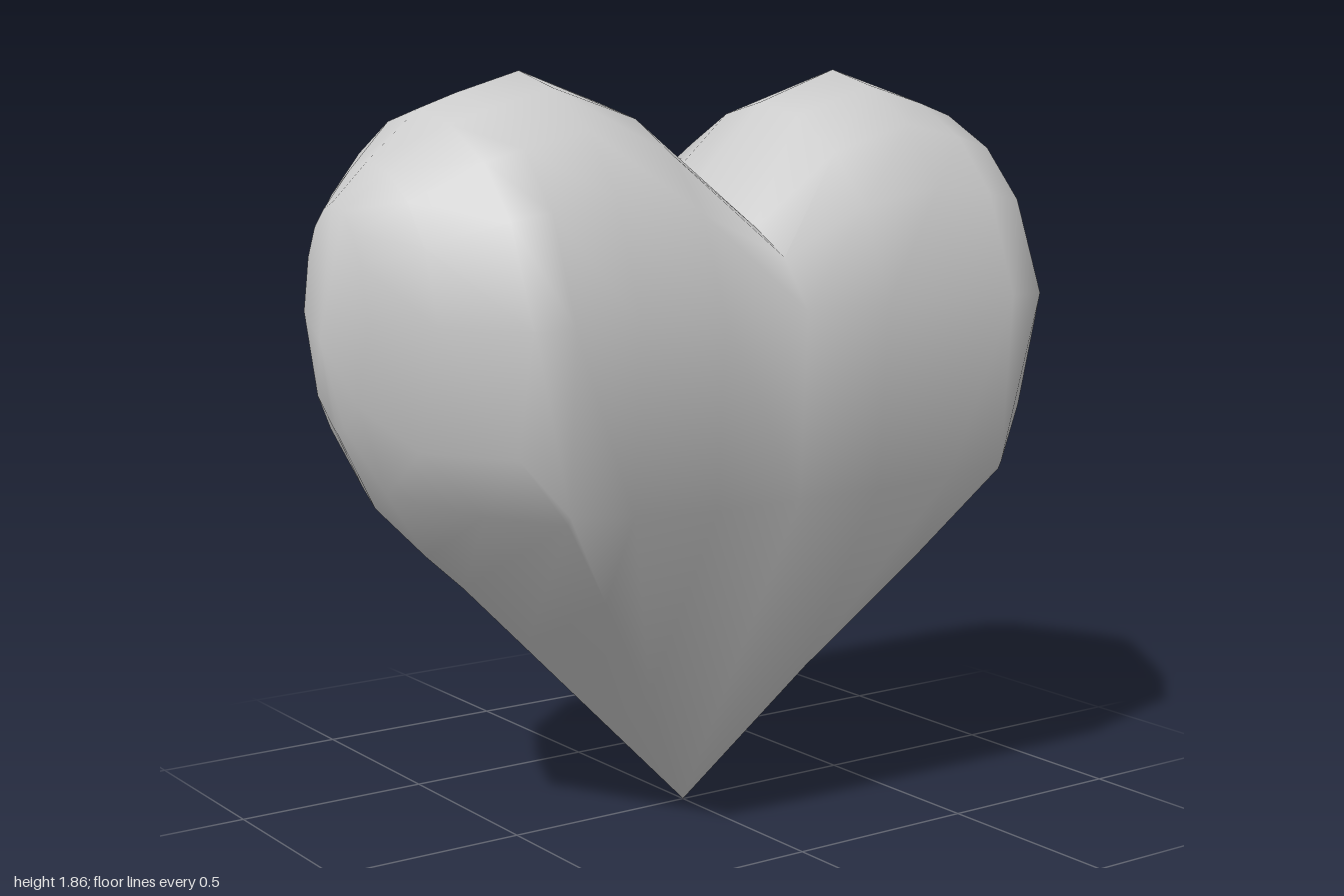
import * as THREE from 'three';
import { toCreasedNormals } from 'three/addons/utils/BufferGeometryUtils.js';

// Cross-sections at constant x, from the notch out to the side of one lobe:
// [x, topY, halfDepth, shoulderY, shoulderZ, keelY, keelZ, bottomY]
const SECTIONS = [
  [0, 1.55, 0.505, 0.86, 0.48, 0, 0, 0],
  [0.24, 1.78, 0.51, 0.86, 0.48, 0.36, 0.2, 0.24],
  [0.47, 1.86, 0.51, 0.87, 0.48, 0.65, 0.36, 0.47],
  [0.64, 1.81, 0.51, 0.89, 0.48, 0.87, 0.47, 0.64],
  [0.74, 1.775, 0.5, 1.02, 0.43, 0.87, 0.28, 0.73],
  [0.87, 1.66, 0.31, 1.02, 0.22, 0.9, 0.06, 0.86],
  [0.96, 1.57, 0.16, 1.12, 0.1, 1.06, 0.03, 1.04],
  [1, 1.26, 0, 1.26, 0, 1.26, 0, 1.26],
];
// Rounded upper arch: [fraction of half depth, fraction of height]
const ARCH = [[0, 1], [0.29, 0.93], [0.59, 0.76], [0.82, 0.49], [1, 0]];

// Closed loop of points: top, down the front, bottom, up the back
function sectionLoop([x, top, depth, shoulderY, shoulderZ, keelY, keelZ, bottom], side) {
  const widestY = Math.min(1.31, top);
  const front = ARCH.map(([w, h]) => [depth * w, widestY + (top - widestY) * h]);
  front.push([shoulderZ, shoulderY], [keelZ, keelY], [0, bottom]);
  const back = front.slice(1, -1).reverse().map(([z, y]) => [-z, y]);
  return [...front, ...back].map(([z, y]) => new THREE.Vector3(x * side, y, z));
}

function heartGeometry() {
  const loops = [
    ...SECTIONS.slice(1).reverse().map((s) => sectionLoop(s, -1)),
    ...SECTIONS.map((s) => sectionLoop(s, 1)),
  ];
  const positions = [];
  // Add a triangle unless it has collapsed at the tip or the sides
  const addTriangle = (...corners) => {
    if (new THREE.Triangle(...corners).getArea() < 1e-7) return;
    corners.forEach((p) => positions.push(p.x, p.y, p.z));
  };
  for (let i = 0; i < loops.length - 1; i++) {
    const count = loops[i].length;
    for (let j = 0; j < count; j++) {
      const k = (j + 1) % count;
      const a = loops[i][j], b = loops[i][k];
      const c = loops[i + 1][j], d = loops[i + 1][k];
      // Choose diagonals that mirror between left and right
      if (i < SECTIONS.length - 1) {
        addTriangle(a, b, d);
        addTriangle(a, d, c);
      } else {
        addTriangle(a, b, c);
        addTriangle(b, d, c);
      }
    }
  }
  const geometry = new THREE.BufferGeometry();
  geometry.setAttribute('position', new THREE.Float32BufferAttribute(positions, 3));
  // Smooth lobes, sharp notch
  return toCreasedNormals(geometry, 1.1);
}

export function createModel() {
  const group = new THREE.Group();
  group.name = 'heartModel';
  const heart = new THREE.Mesh(heartGeometry(), new THREE.MeshStandardMaterial({ color: 0xcccccc }));
  heart.name = 'heart';
  group.add(heart);
  return group;
}
